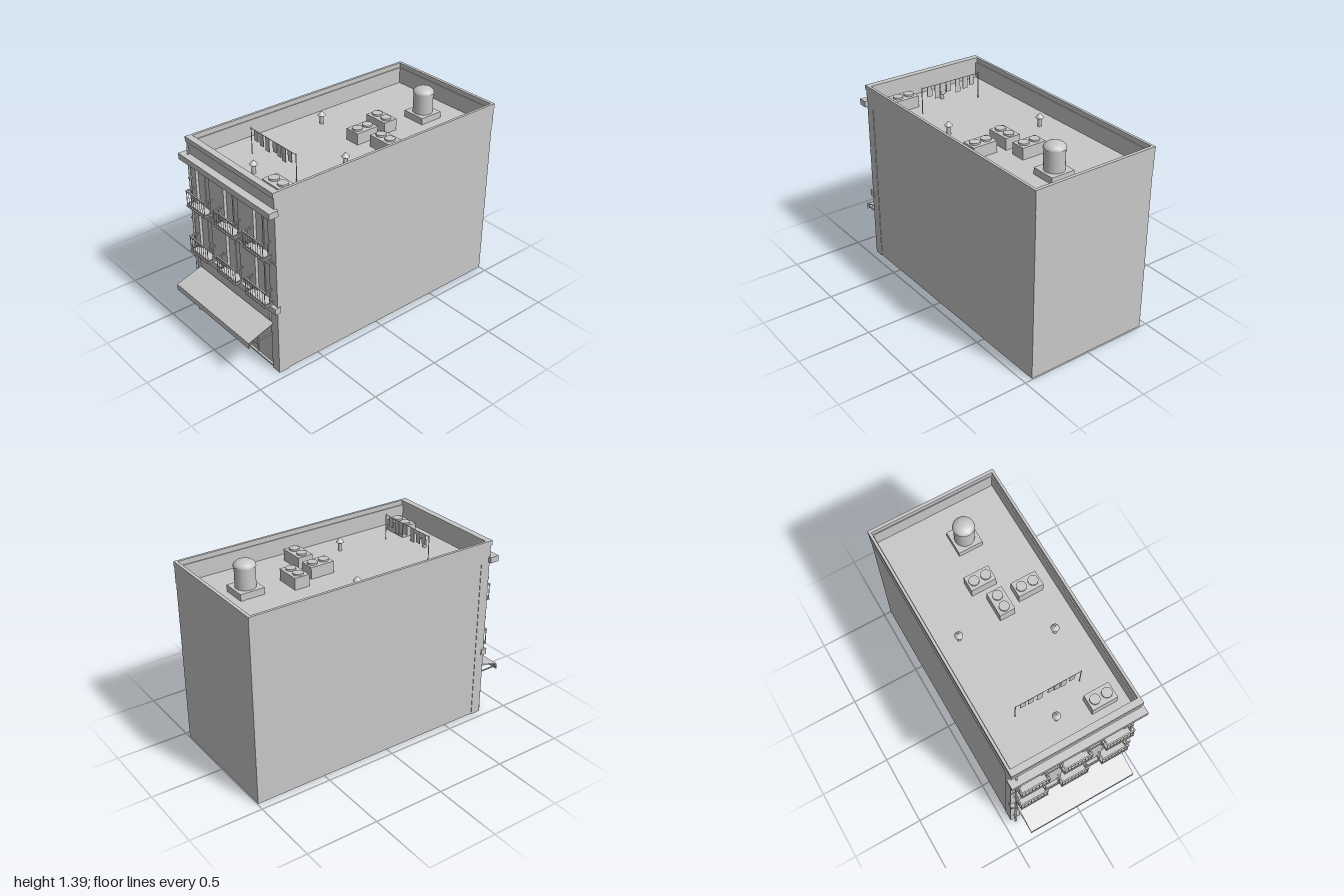
import * as THREE from 'three';

const grey = new THREE.MeshStandardMaterial({ color: 0xc8c8c8 });
grey.name = 'plaster grey';

export function createModel() {
  const model = new THREE.Group();
  model.name = 'townHouse';

  const add = (parent, name, geo, x = 0, y = 0, z = 0) => {
    const mesh = new THREE.Mesh(geo, grey);
    mesh.name = name;
    mesh.position.set(x, y, z);
    parent.add(mesh);
    return mesh;
  };
  // Box given by its limits on each axis
  const box = (parent, name, x0, x1, y0, y1, z0, z1) =>
    add(parent, name, new THREE.BoxGeometry(x1 - x0, y1 - y0, z1 - z0), (x0 + x1) / 2, (y0 + y1) / 2, (z0 + z1) / 2);
  const rod = (parent, name, r, x, y0, y1, z, sides = 8) =>
    add(parent, name, new THREE.CylinderGeometry(r, r, y1 - y0, sides), x, (y0 + y1) / 2, z);
  const group = (name, x = 0, y = 0, z = 0) => {
    const g = new THREE.Group();
    g.name = name;
    g.position.set(x, y, z);
    model.add(g);
    return g;
  };
  const rect = (P, x0, x1, y0, y1) => {
    const p = new P();
    p.moveTo(x0, y0);
    p.lineTo(x1, y0);
    p.lineTo(x1, y1);
    p.lineTo(x0, y1);
    p.closePath();
    return p;
  };
  const ring = (name, o, i, y, h) => {
    const s = rect(THREE.Shape, -o.x, o.x, -o.front, o.back);
    s.holes.push(rect(THREE.Path, -i.x, i.x, -i.front, i.back));
    const g = new THREE.ExtrudeGeometry(s, { depth: h, bevelEnabled: false });
    g.rotateX(-Math.PI / 2);
    return add(model, name, g, 0, y, 0);
  };

  // Main block, whose top is the flat roof
  box(model, 'mainBlock', -0.447, 0.447, 0.004, 1.16, -0.997, 0.78);
  ring('parapet', { x: 0.45, front: 0.812, back: 0.999 }, { x: 0.428, front: 0.78, back: 0.972 }, 1.155, 0.12);
  ring('coping', { x: 0.453, front: 0.82, back: 1 }, { x: 0.435, front: 0.775, back: 0.978 }, 1.274, 0.034);

  // Upper facade with tall window openings
  const columns = [-0.305, 0, 0.305];
  const floors = [0.51, 0.85];
  const wall = rect(THREE.Shape, -0.45, 0.45, 0.45, 1.16);
  for (const x of columns) for (const y of floors)
    wall.holes.push(rect(THREE.Path, x - 0.072, x + 0.072, y, y + 0.28));
  add(model, 'facadeWall', new THREE.ExtrudeGeometry(wall, { depth: 0.07, bevelEnabled: false }), 0, 0, 0.74);
  box(model, 'floorBand', -0.45, 0.45, 0.812, 0.824, 0.8, 0.815);
  box(model, 'lowerCornice', -0.456, 0.456, 0.462, 0.505, 0.79, 0.833);
  box(model, 'upperCornice', -0.473, 0.473, 1.157, 1.198, 0.8, 0.865);
  for (const x of [-0.19, -0.14, 0.14, 0.19, 0.41, -0.41])
    box(model, 'cornicePeg', x - 0.008, x + 0.008, 1.137, 1.158, 0.8, 0.83);

  // Windows and balconies
  for (const x of columns) for (const y of floors) {
    const w = group('balconyWindow', x, y, 0);
    box(w, 'windowPane', -0.072, 0.072, 0, 0.28, 0.775, 0.79);
    box(w, 'windowMullion', -0.005, 0.005, 0, 0.28, 0.785, 0.794);
    box(w, 'lintel', -0.095, 0.095, 0.283, 0.302, 0.8, 0.822);
    box(w, 'balconySlab', -0.102, 0.102, -0.005, 0.004, 0.8, 0.875);
    box(w, 'bottomRail', -0.1, 0.1, 0.012, 0.018, 0.867, 0.873);
    box(w, 'topRail', -0.102, 0.102, 0.104, 0.112, 0.865, 0.875);
    for (const s of [-1, 1]) {
      box(w, 'sideTopRail', s * 0.098 - 0.004, s * 0.098 + 0.004, 0.104, 0.112, 0.8, 0.87);
      box(w, 'sideBottomRail', s * 0.098 - 0.003, s * 0.098 + 0.003, 0.012, 0.018, 0.8, 0.87);
      rod(w, 'sideBaluster', 0.002, s * 0.098, 0, 0.106, 0.835, 6);
    }
    for (let i = 0; i <= 8; i++)
      rod(w, 'baluster', i % 8 ? 0.002 : 0.003, -0.098 + i * 0.0245, 0, 0.106, 0.87, 6);
  }

  // Ground floor shop front
  const shop = group('shopFront');
  for (const s of [-1, 1]) {
    const a = s * 0.45, b = s * 0.38;
    box(shop, 'pilaster', Math.min(a, b), Math.max(a, b), 0, 0.462, 0.74, 0.812);
  }
  box(shop, 'shopWindow', -0.38, 0.38, 0.004, 0.462, 0.775, 0.79);
  box(shop, 'windowSill', -0.37, 0.2, 0.06, 0.068, 0.785, 0.796);
  box(shop, 'doorFrame', 0.197, 0.205, 0.004, 0.26, 0.785, 0.796);
  box(shop, 'threshold', -0.38, 0.38, 0, 0.012, 0.78, 0.805);
  box(shop, 'signBoard', -0.38, 0.38, 0.375, 0.455, 0.785, 0.822);

  // Sloped awning with valance and side arms
  const awning = group('awning');
  const profile = new THREE.Shape([[0.8, 0.358], [0.997, 0.293], [0.997, 0.256], [1, 0.256], [1, 0.298], [0.8, 0.364]]
    .map(([z, y]) => new THREE.Vector2(-z, y)));
  const cloth = new THREE.ExtrudeGeometry(profile, { depth: 0.8, bevelEnabled: false });
  cloth.rotateY(Math.PI / 2);
  add(awning, 'awningCloth', cloth, -0.4, 0, 0);
  for (const s of [-1, 1])
    box(awning, 'awningArm', s * 0.396 - 0.004, s * 0.396 + 0.004, 0.281, 0.288, 0.8, 0.998);

  // Drainpipe
  const drain = group('drainpipe');
  rod(drain, 'pipe', 0.007, -0.42, 0.02, 1.25, 0.825, 10);
  rod(drain, 'pipeShoe', 0.01, -0.42, 0.005, 0.03, 0.83, 10);
  for (const y of [0.145, 0.44, 0.735, 1.03])
    box(drain, 'pipeClamp', -0.431, -0.409, y - 0.004, y + 0.004, 0.805, 0.835);

  // Water tank on its plinth
  const tank = group('waterTank', 0.08, 1.16, -0.71);
  box(tank, 'tankPlinth', -0.085, 0.085, 0, 0.045, -0.085, 0.085);
  rod(tank, 'tankBody', 0.067, 0, 0.045, 0.185, 0, 20);
  const dome = new THREE.SphereGeometry(0.072, 20, 6, 0, Math.PI * 2, 0, Math.PI / 2);
  dome.scale(1, 0.56, 1);
  add(tank, 'tankDome', dome, 0, 0.185, 0);
  const rim = add(tank, 'domeUnderside', new THREE.CircleGeometry(0.072, 20), 0, 0.185, 0);
  rim.rotation.x = Math.PI / 2;

  // Rooftop cooling units: x, z, width, depth
  for (const [x, z, w, d] of [[0.018, -0.395, 0.175, 0.105], [0.055, -0.195, 0.107, 0.172],
    [0.255, -0.215, 0.175, 0.107], [0.268, 0.642, 0.175, 0.11]]) {
    const unit = group('coolingUnit', x, 1.16, z);
    box(unit, 'unitCase', -w / 2, w / 2, 0, 0.08, -d / 2, d / 2);
    for (const s of [-1, 1])
      add(unit, 'fan', new THREE.CylinderGeometry(0.034, 0.034, 0.012, 16), w > d ? s * 0.042 : 0, 0.086, w > d ? 0 : s * 0.042);
  }

  // Vent pipes with conical caps
  for (const [x, z] of [[-0.28, -0.13], [0.26, 0.12], [-0.022, 0.612]]) {
    const vent = group('roofVent', x, 1.16, z);
    rod(vent, 'ventPipe', 0.014, 0, 0, 0.065, 0, 10);
    add(vent, 'ventCap', new THREE.ConeGeometry(0.028, 0.032, 14), 0, 0.077, 0);
  }

  // Washing line
  const line = group('washingLine', 0, 1.16, 0.475);
  for (const x of [-0.228, 0.225]) rod(line, 'linePost', 0.003, x, 0, 0.19, 0, 6);
  box(line, 'lineCord', -0.228, 0.225, 0.179, 0.182, -0.0015, 0.0015);
  [-0.175, -0.12, -0.06, 0.015, 0.06, 0.105, 0.165].forEach((x, i) =>
    box(line, 'laundry', x - 0.019, x + 0.019, 0.11 - (i % 3) * 0.012, 0.18, -0.002, 0.002));

  return model;
}
